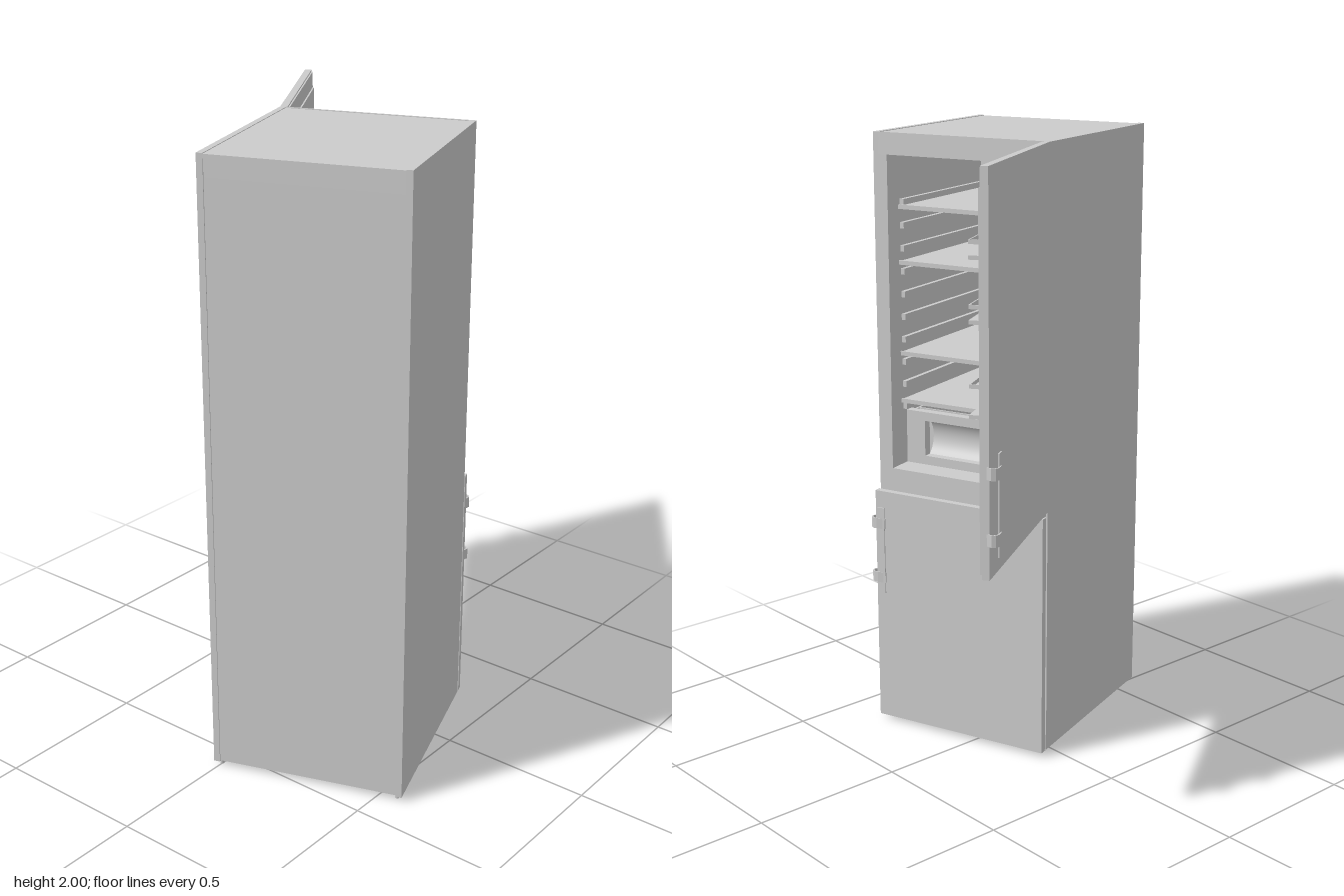
import * as THREE from 'three';

const grey = new THREE.MeshStandardMaterial({ color: 0xcccccc, flatShading: true });
const smooth = new THREE.MeshStandardMaterial({ color: 0xcccccc, side: THREE.DoubleSide });

// Box given by its limits on each axis
function box(parent, name, x0, x1, y0, y1, z0, z1) {
  const mesh = new THREE.Mesh(new THREE.BoxGeometry(x1 - x0, y1 - y0, z1 - z0), grey);
  mesh.position.set((x0 + x1) / 2, (y0 + y1) / 2, (z0 + z1) / 2);
  mesh.name = name;
  parent.add(mesh);
  return mesh;
}

function group(parent, name) {
  const g = new THREE.Group();
  g.name = name;
  parent.add(g);
  return g;
}

// Flat grip held by two hooked brackets that wrap round the door's free edge (outer face at z = 0)
function addHandle(door, name, y0, y1) {
  const handle = group(door, name);
  box(handle, 'grip', 0.583, 0.612, y0, y1, -0.024, -0.02);
  const outer = [[0.63, 0.008], [0.638, -0.008], [0.634, -0.02], [0.624, -0.027], [0.61, -0.028], [0.58, -0.022]];
  const inner = [[0.58, -0.019], [0.61, -0.024], [0.622, -0.023], [0.63, -0.017], [0.634, -0.008], [0.628, 0.004]];
  const shape = new THREE.Shape([...outer, ...inner].map(p => new THREE.Vector2(...p)));
  for (const y of [y0 + 0.055, y1 - 0.055]) {
    const geo = new THREE.ExtrudeGeometry(shape, { depth: 0.036, bevelEnabled: false });
    geo.rotateX(Math.PI / 2);
    const bracket = new THREE.Mesh(geo, grey);
    bracket.position.y = y + 0.018;
    bracket.name = 'handleBracket';
    handle.add(bracket);
  }
}

// Cabinet shell: front opening at z = 0, back at z = 0.665
function addCabinet(fridge) {
  const cabinet = group(fridge, 'cabinet');
  box(cabinet, 'rightSidePanel', 0, 0.02, 0.015, 2, 0, 0.665);
  box(cabinet, 'leftSidePanel', 0.61, 0.63, 0.015, 2, 0, 0.665);
  box(cabinet, 'freezerBody', 0.02, 0.61, 0.018, 0.9, 0, 0.661);
  box(cabinet, 'topBody', 0.02, 0.61, 1.93, 1.985, 0, 0.661);
  box(cabinet, 'topPanel', 0.02, 0.61, 1.985, 1.998, 0.008, 0.665);
  box(cabinet, 'topTrim', 0.02, 0.61, 1.985, 2, 0, 0.008);
  box(cabinet, 'backWall', 0.02, 0.61, 0.9, 1.93, 0.59, 0.661);
  box(cabinet, 'linerWall', 0.02, 0.05, 0.9, 1.93, 0, 0.59);
  box(cabinet, 'linerWall', 0.58, 0.61, 0.9, 1.93, 0, 0.59);
  for (const x of [0.02, 0.61]) for (const z of [0.02, 0.645]) {
    const foot = new THREE.Mesh(new THREE.CylinderGeometry(0.007, 0.007, 0.018, 12), grey);
    foot.position.set(x, 0.009, z);
    foot.name = 'foot';
    cabinet.add(foot);
  }
}

// Shelves, the ribs that carry them and the bottom drawer
function addInterior(fridge) {
  const interior = group(fridge, 'interior');
  for (const y of [1.12, 1.28, 1.58, 1.76]) {
    box(interior, 'shelf', 0.054, 0.576, y - 0.004, y + 0.004, 0.06, 0.585);
    box(interior, 'shelfFrontEdge', 0.054, 0.576, y - 0.007, y + 0.007, 0.054, 0.06);
  }
  for (let i = 0; i < 10; i++) {
    const y = 1.1 + i * 0.075;
    box(interior, 'shelfRib', 0.05, 0.064, y - 0.012, y + 0.008, 0.07, 0.57);
    box(interior, 'shelfRib', 0.566, 0.58, y - 0.012, y + 0.008, 0.07, 0.57);
  }

  const drawer = group(interior, 'drawer');
  const front = new THREE.Shape([[0.06, 0.905], [0.57, 0.905], [0.57, 1.085], [0.06, 1.085]].map(p => new THREE.Vector2(...p)));
  front.holes.push(new THREE.Path([[0.13, 0.935], [0.13, 1.055], [0.5, 1.055], [0.5, 0.935]].map(p => new THREE.Vector2(...p))));
  const frame = new THREE.Mesh(new THREE.ExtrudeGeometry(front, { depth: 0.03, bevelEnabled: false }), grey);
  frame.position.z = 0.075;
  frame.name = 'drawerFront';
  drawer.add(frame);
  // Hollowed grip behind the window
  const scoop = new THREE.CylinderGeometry(0.08, 0.08, 0.37, 20, 1, true, -0.85, 1.7);
  scoop.rotateZ(Math.PI / 2);
  const grip = new THREE.Mesh(scoop, smooth);
  grip.position.set(0.315, 0.995, 0.05);
  grip.name = 'drawerGrip';
  drawer.add(grip);
  box(drawer, 'drawerBack', 0.065, 0.565, 0.905, 1.08, 0.56, 0.57);
  box(drawer, 'drawerFloor', 0.065, 0.565, 0.905, 0.915, 0.105, 0.56);
  box(drawer, 'drawerInnerFront', 0.065, 0.565, 0.915, 1.08, 0.135, 0.14);
  for (const x of [0.065, 0.557]) box(drawer, 'drawerSide', x, x + 0.008, 0.915, 1.08, 0.105, 0.56);
}

// Closed lower door
function addFreezerDoor(fridge) {
  const door = group(fridge, 'freezerDoor');
  door.position.z = -0.032;
  box(door, 'doorPanel', 0, 0.63, 0.015, 0.825, 0, 0.023);
  box(door, 'doorSeal', 0.012, 0.618, 0.03, 0.81, 0.023, 0.032);
  box(door, 'lowerHinge', 0.002, 0.04, 0.018, 0.07, 0.023, 0.032);
  addHandle(door, 'freezerHandle', 0.475, 0.775);
}

// Upper door swung open about the cabinet's front edge, inner side at +z
function addFridgeDoor(fridge) {
  const door = group(fridge, 'fridgeDoor');
  door.rotation.y = 1.796;
  box(door, 'doorPanel', 0, 0.63, 0.84, 2, 0, 0.023);
  box(door, 'doorLiner', 0.012, 0.618, 0.85, 1.94, 0.023, 0.032);
  box(door, 'doorTopLiner', 0.012, 0.618, 1.942, 1.995, 0.023, 0.028);
  addHandle(door, 'fridgeHandle', 0.905, 1.21);

  const rack = group(door, 'doorRack');
  for (const x of [0.095, 0.525]) {
    box(rack, 'rackPost', x, x + 0.02, 1.255, 1.86, 0.032, 0.05);
  }
  for (const [y0, y1] of [[1.285, 1.385], [1.555, 1.61], [1.735, 1.79]]) {
    box(rack, 'rackFloor', 0.09, 0.55, y0, y0 + 0.012, 0.045, 0.083);
    box(rack, 'rackRail', 0.09, 0.55, y1 - 0.012, y1, 0.079, 0.083);
    for (const x of [0.09, 0.546]) {
      box(rack, 'rackEnd', x, x + 0.004, y1 - 0.012, y1, 0.045, 0.079);
    }
  }
}

// Hinge plates joining the open door to the cabinet
function addHinges(fridge) {
  for (const y of [0.832, 1.965]) {
    const hinge = group(fridge, 'doorHinge');
    box(hinge, 'hingePlate', 0.005, 0.05, y - 0.006, y + 0.006, -0.025, 0.01);
    const pin = new THREE.Mesh(new THREE.CylinderGeometry(0.007, 0.007, 0.03, 12), grey);
    pin.position.set(0.016, y, -0.02);
    pin.name = 'hingePin';
    hinge.add(pin);
  }
}

export function createModel() {
  const model = new THREE.Group();
  model.name = 'fridgeFreezer';
  const fridge = group(model, 'fridge');
  addCabinet(fridge);
  addInterior(fridge);
  addFreezerDoor(fridge);
  addFridgeDoor(fridge);
  addHinges(fridge);
  // The whole appliance stands turned, with its doors towards the rear
  fridge.position.set(-0.235, 0, -0.04);
  fridge.rotation.y = 0.337;
  return model;
}
